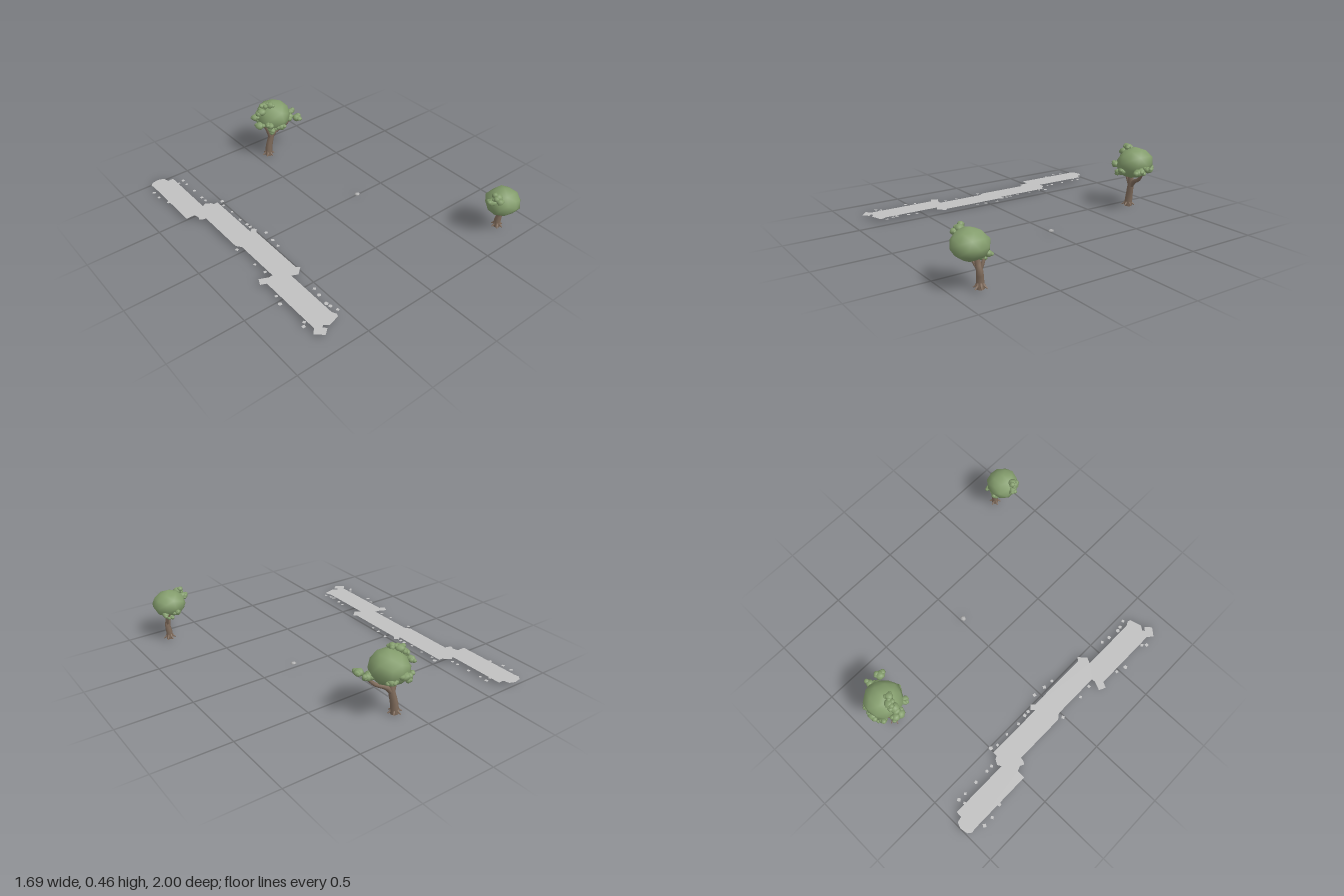
import * as THREE from 'three';
import { mergeVertices } from 'three/addons/utils/BufferGeometryUtils.js';

const mat = (name, color, side = THREE.FrontSide) => {
  const m = new THREE.MeshStandardMaterial({ color, side });
  m.name = name;
  return m;
};

export function createModel() {
  const leaf = mat('leaf green', 0x849d6d);
  const bark = mat('bark brown', 0x806c5c);
  const paving = mat('path grey', 0xc0c0c0, THREE.DoubleSide);
  const stone = mat('stone grey', 0xb4b4b4);
  const model = new THREE.Group();
  model.name = 'parkScene';

  let seed = 11;
  const rand = () => (seed = (seed * 16807) % 2147483647) / 2147483647;

  const add = (parent, name, geometry, material) => {
    const mesh = new THREE.Mesh(geometry, material);
    mesh.name = name;
    parent.add(mesh);
    return mesh;
  };

  // Faceted ball with jittered corners and smooth normals
  function blob(parent, name, pos, radii, material, jitter = 0.1, detail = 1) {
    let g = new THREE.IcosahedronGeometry(1, detail);
    g.deleteAttribute('uv');
    g.deleteAttribute('normal');
    g = mergeVertices(g, 1e-3);
    const p = g.attributes.position;
    for (let i = 0; i < p.count; i++) {
      const k = 1 + (rand() - 0.5) * 2 * jitter;
      p.setXYZ(i, p.getX(i) * k * radii[0], p.getY(i) * k * radii[1], p.getZ(i) * k * radii[2]);
    }
    g.computeVertexNormals();
    const mesh = add(parent, name, g, material);
    mesh.position.set(...pos);
    return mesh;
  }

  // Tube along a curve, narrowing from r0 to r1
  function limb(parent, name, points, r0, r1) {
    const curve = new THREE.CatmullRomCurve3(points.map(p => new THREE.Vector3(...p)));
    const seg = 8, sides = 8;
    const g = new THREE.TubeGeometry(curve, seg, 1, sides, false);
    const p = g.attributes.position, v = new THREE.Vector3();
    for (let i = 0; i < p.count; i++) {
      const t = Math.floor(i / (sides + 1)) / seg;
      const c = curve.getPointAt(t);
      v.fromBufferAttribute(p, i).sub(c).multiplyScalar(r0 + (r1 - r0) * t).add(c);
      p.setXYZ(i, v.x, v.y, v.z);
    }
    add(parent, name, g, bark);
  }

  // Roots spreading from the foot of a trunk
  function roots(parent, x, y, z, reach) {
    for (let i = 0; i < 6; i++) {
      const a = i * Math.PI / 3 + 0.3, c = Math.cos(a), s = Math.sin(a);
      limb(parent, 'root', [[x + c * 0.008, y + 0.04, z + s * 0.008],
        [x + c * reach * 0.55, y + 0.018, z + s * reach * 0.55],
        [x + c * reach, y + 0.004, z + s * reach]], 0.012, 0.003);
    }
  }

  // Leaf clump: one main ball with smaller ones crowding around it
  function clump(parent, [x, y, z, r], extra = 3) {
    blob(parent, 'leafClump', [x, y, z], [r, r * 0.85, r], leaf, 0.13);
    for (let i = 0; i < extra; i++) {
      const a = rand() * Math.PI * 2, d = r * 0.8, q = r * (0.5 + rand() * 0.2);
      blob(parent, 'leafTuft', [x + Math.cos(a) * d, y + (rand() - 0.4) * r, z + Math.sin(a) * d],
        [q, q * 0.85, q], leaf, 0.13);
    }
  }

  // Large tree at the back
  const big = new THREE.Group();
  big.name = 'largeTree';
  model.add(big);
  limb(big, 'trunk', [[0.088, 0.0, -0.8], [0.095, 0.07, -0.8], [0.112, 0.15, -0.795],
    [0.12, 0.2, -0.79], [0.115, 0.29, -0.785]], 0.028, 0.016);
  limb(big, 'rightBranch', [[0.108, 0.14, -0.797], [0.15, 0.19, -0.79], [0.22, 0.225, -0.77],
    [0.28, 0.29, -0.75]], 0.018, 0.009);
  limb(big, 'leftBranch', [[0.105, 0.16, -0.795], [0.085, 0.21, -0.79], [0.05, 0.28, -0.78]], 0.016, 0.01);
  roots(big, 0.088, 0.002, -0.8, 0.045);
  blob(big, 'crown', [0.145, 0.33, -0.797], [0.125, 0.11, 0.132], leaf, 0.07);
  [[0.04, 0.39, -0.79, 0.032], [0.07, 0.425, -0.8, 0.03], [0.1, 0.435, -0.77, 0.026],
    [0.0, 0.345, -0.82, 0.026], [0.01, 0.29, -0.78, 0.032], [0.08, 0.26, -0.73, 0.034],
    [0.14, 0.28, -0.69, 0.03], [0.05, 0.31, -0.7, 0.025], [0.12, 0.31, -0.91, 0.032],
    [0.07, 0.28, -0.88, 0.032], [0.2, 0.29, -0.89, 0.028], [0.255, 0.29, -0.76, 0.032],
    [0.29, 0.305, -0.785, 0.026], [0.285, 0.295, -0.7, 0.03]].forEach(c => clump(big, c));

  // Small tree at the front
  const small = new THREE.Group();
  small.name = 'smallTree';
  model.add(small);
  limb(small, 'trunk', [[0.762, 0.01, 0.845], [0.762, 0.06, 0.845], [0.768, 0.11, 0.85],
    [0.755, 0.16, 0.855], [0.75, 0.22, 0.865]], 0.024, 0.015);
  limb(small, 'leftBranch', [[0.766, 0.11, 0.85], [0.735, 0.165, 0.87], [0.69, 0.22, 0.89]], 0.013, 0.009);
  limb(small, 'backBranch', [[0.766, 0.11, 0.85], [0.77, 0.16, 0.83], [0.76, 0.21, 0.81]], 0.012, 0.008);
  roots(small, 0.762, 0.01, 0.845, 0.04);
  blob(small, 'crown', [0.725, 0.256, 0.885], [0.112, 0.094, 0.11], leaf, 0.07);
  [[0.65, 0.325, 0.9, 0.028], [0.625, 0.29, 0.88, 0.028], [0.64, 0.31, 0.925, 0.022],
    [0.75, 0.185, 0.83, 0.026], [0.71, 0.215, 0.8, 0.026], [0.79, 0.21, 0.81, 0.022]]
    .forEach(c => clump(small, c));

  // Flat path with broken edges, outlined as x, z
  const outline = [
    [-0.8, -0.94], [-0.805, -0.965], [-0.785, -0.99], [-0.735, -1], [-0.695, -0.985], [-0.685, -0.945],
    [-0.645, -0.945], [-0.645, -0.535], [-0.62, -0.55], [-0.585, -0.53], [-0.575, -0.51], [-0.545, -0.51],
    [-0.545, -0.11], [-0.52, -0.13], [-0.497, -0.105], [-0.518, -0.08], [-0.518, 0.345], [-0.497, 0.365],
    [-0.545, 0.41], [-0.585, 0.39], [-0.585, 0.775], [-0.57, 0.805], [-0.577, 0.825], [-0.655, 0.847],
    [-0.685, 0.825], [-0.7, 0.835], [-0.68, 0.857], [-0.72, 0.89], [-0.77, 0.845], [-0.74, 0.81],
    [-0.74, 0.355], [-0.778, 0.338], [-0.757, 0.292], [-0.7, 0.317], [-0.672, 0.317], [-0.672, -0.015],
    [-0.698, -0.05], [-0.698, -0.407], [-0.725, -0.412], [-0.742, -0.425], [-0.73, -0.45], [-0.742, -0.485],
    [-0.8, -0.485]];
  const path = new THREE.Shape(outline.map(([x, z]) => new THREE.Vector2(x, -z)));
  add(model, 'path', new THREE.ShapeGeometry(path).rotateX(-Math.PI / 2), paving).position.y = 0.021;

  // Flat stone chips beside the path
  [[-0.83, -0.88], [-0.83, -0.81], [-0.805, -0.72], [-0.71, -0.015], [-0.7, 0.17], [-0.69, 0.265],
    [-0.757, 0.475], [-0.777, 0.54], [-0.777, 0.765], [-0.755, 0.74], [-0.6, -0.88], [-0.64, -0.87],
    [-0.603, -0.825], [-0.6, -0.725], [-0.6, -0.625], [-0.598, -0.58], [-0.513, -0.5], [-0.53, -0.455],
    [-0.524, -0.36], [-0.53, -0.255], [-0.52, -0.185], [-0.518, -0.15], [-0.47, -0.037], [-0.48, 0.05],
    [-0.487, 0.117], [-0.545, 0.566], [-0.556, 0.624], [-0.566, 0.704], [-0.56, 0.735], [-0.545, 0.783]]
    .forEach(([x, z]) => {
      const g = new THREE.CircleGeometry(0.011 + rand() * 0.004, rand() < 0.7 ? 4 : 5);
      g.rotateZ(rand() * 3).rotateX(-Math.PI / 2);
      add(model, 'pathChip', g, paving).position.set(x, 0.021, z);
    });

  // Lone stone on the grass
  blob(model, 'stone', [0.264, 0.019, 0.017], [0.02, 0.01, 0.018], stone, 0.08, 0);

  return model;
}
